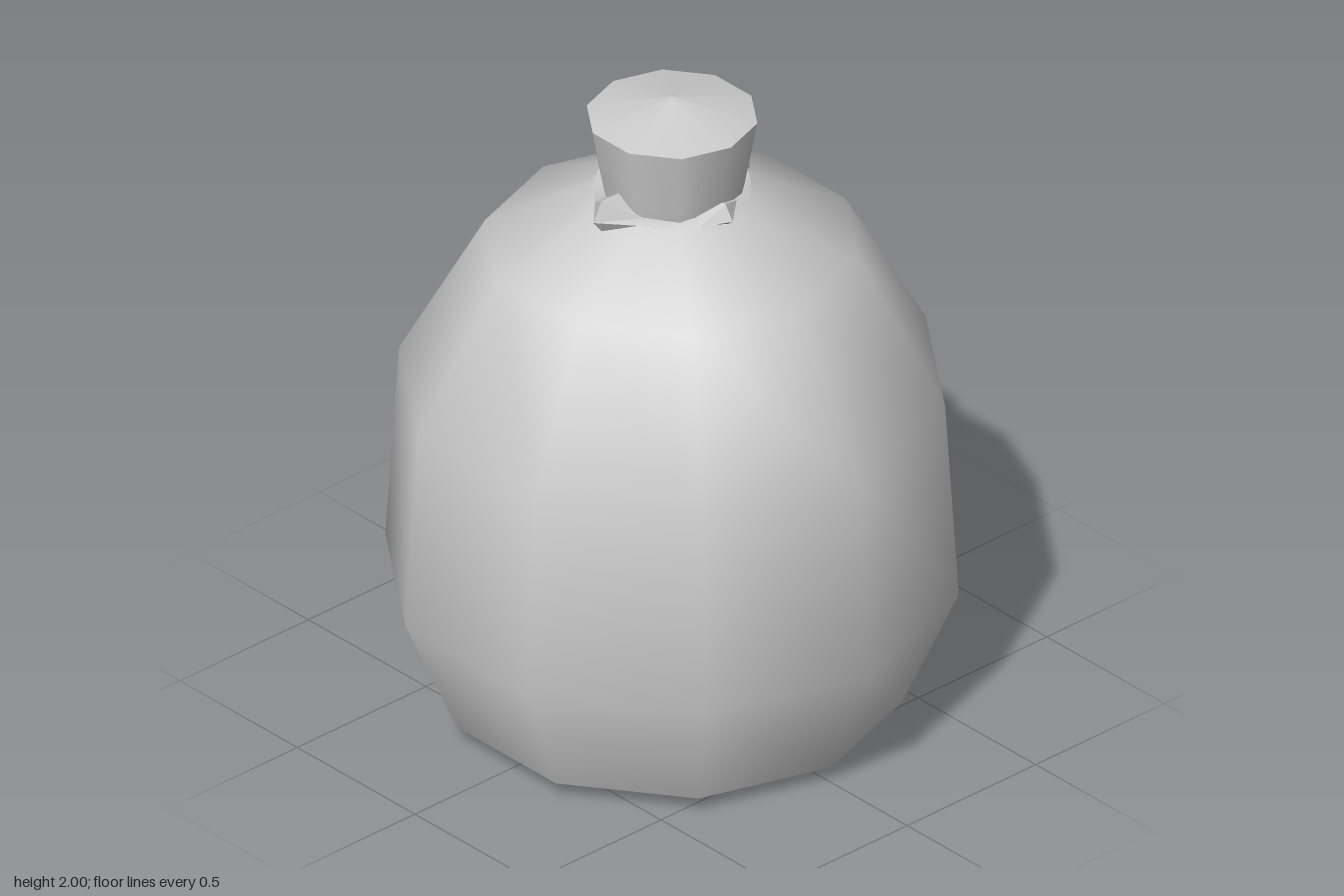
import * as THREE from 'three';
import { toCreasedNormals } from 'three/addons/utils/BufferGeometryUtils.js';

const material = new THREE.MeshStandardMaterial({ color: 0xcccccc });
const tieMaterial = new THREE.MeshStandardMaterial({ color: 0xcccccc, side: THREE.DoubleSide });

// Ten-sided turned part with a corner on the x axis; profile runs bottom to top
function turned(name, profile) {
  const points = profile.map(([r, y]) => new THREE.Vector2(r, y));
  const mesh = new THREE.Mesh(new THREE.LatheGeometry(points, 10, Math.PI / 2), material);
  mesh.name = name;
  return mesh;
}

// Pinched tie: a ring of five-sided cross-sections, with a point on each axis
function tie() {
  const steps = 16;
  const sides = 5;
  const positions = [];
  const index = [];
  for (let i = 0; i < steps; i++) {
    const angle = (i / steps) * Math.PI * 2;
    const k = i % 4;
    const alongZ = i % 8 === 4;
    // outer radius, bottom, middle and top heights
    let [r, low, mid, high] = [0.235, 1.68, 1.695, 1.705];
    if (k === 0) [r, low, mid, high] = alongZ ? [0.305, 1.66, 1.7, 1.76] : [0.258, 1.67, 1.695, 1.74];
    else if (k === 2) [r, low, mid, high] = [0.23, 1.675, 1.685, 1.7];
    const section = [[0.17, low + 0.02], [r - 0.03, low], [r, mid], [r - 0.03, high], [0.17, high]];
    for (const [rad, y] of section) positions.push(Math.cos(angle) * rad, y, Math.sin(angle) * rad);
    for (let j = 0; j < sides; j++) {
      const a = i * sides + j;
      const b = i * sides + (j + 1) % sides;
      const c = ((i + 1) % steps) * sides + j;
      const d = ((i + 1) % steps) * sides + (j + 1) % sides;
      index.push(a, b, c, b, d, c);
    }
  }
  const geometry = new THREE.BufferGeometry();
  geometry.setAttribute('position', new THREE.Float32BufferAttribute(positions, 3));
  geometry.setIndex(index);
  const mesh = new THREE.Mesh(toCreasedNormals(geometry, 0.5), tieMaterial);
  mesh.name = 'neckTie';
  return mesh;
}

export function createModel() {
  const sack = new THREE.Group();
  sack.name = 'tiedSack';
  sack.add(
    turned('base', [[0, 0], [0.675, 0.05]]),
    turned('body', [[0.675, 0.05], [0.84, 0.43], [0.8, 1.06], [0.547, 1.52], [0.2, 1.7]]),
    turned('neck', [[0.2, 1.68], [0.212, 1.73], [0.25, 1.94]]),
    turned('neckTop', [[0.25, 1.94], [0, 2]]),
    tie()
  );
  return sack;
}
